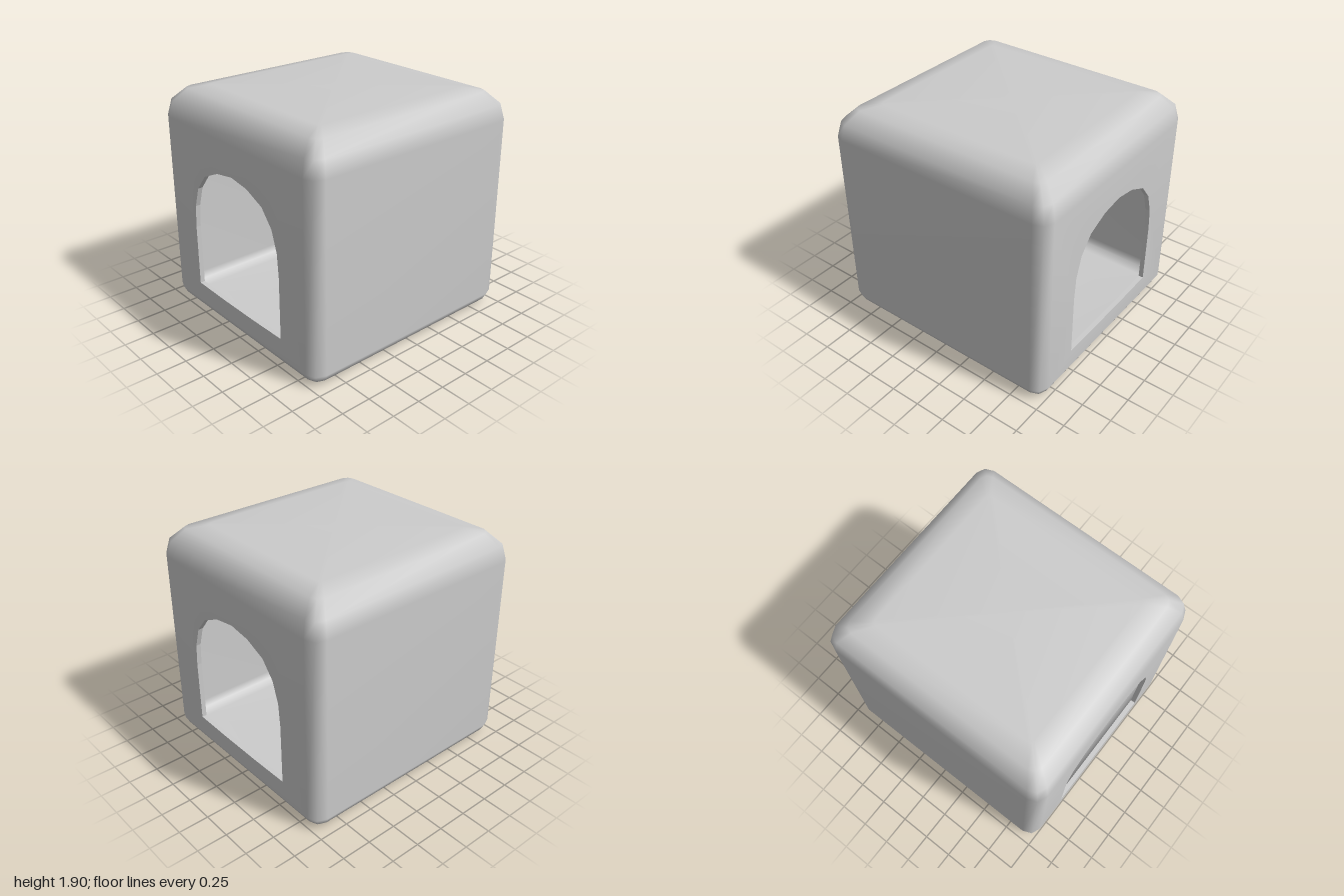
import * as THREE from 'three';
import { mergeGeometries, mergeVertices } from 'three/addons/utils/BufferGeometryUtils.js';

const HX = 1, HZ = 0.95, H = 1.9, CORNER = 0.11, WALL = 0.04;

// Side profile, floor to roof: [inset, height, plan corner radius]
const PROFILE = [
  [0.10, 0, 0.05], [0.03, 0.04, 0.09], [0, 0.1, CORNER], [0, 1.64, CORNER],
  [0.03, 1.77, 0.1], [0.13, 1.87, 0.07], [0.28, 1.9, 0.03],
];
const WALL_LAYER = 2; // profile span that is the straight wall

// Arched doorway, right half from sill to crown: [z, y]
const ARCH = [
  [0.2, 0.255], [0.55, 0.262], [0.55, 0.78], [0.535, 0.97],
  [0.48, 1.14], [0.37, 1.275], [0.19, 1.355], [0, 1.385],
];
const DOOR = [...ARCH, ...ARCH.slice(0, -1).reverse().map(([z, y]) => [-z, y])]
  .map(([z, y]) => new THREE.Vector2(z, y));

function bufferOf(positions, index) {
  const g = new THREE.BufferGeometry();
  g.setAttribute('position', new THREE.Float32BufferAttribute(positions, 3));
  g.setIndex(index);
  return g;
}

// One skin of the box: rounded rings, floor and roof caps, and two walls with doorways
function skin(scale, inward) {
  const mapY = (y) => H / 2 + (y - H / 2) * scale;
  const pos = [], index = [];
  const n = 12;
  for (const [inset, y, r] of PROFILE) {
    for (let k = 0; k < n; k++) {
      const q = Math.floor(k / 3);
      const a = (q + (k % 3) / 2) * Math.PI / 2;
      const sx = q === 0 || q === 3 ? 1 : -1, sz = q < 2 ? 1 : -1;
      pos.push(
        scale * (sx * (HX - inset - r) + r * Math.cos(a)),
        mapY(y),
        scale * (sz * (HZ - inset - r) + r * Math.sin(a)));
    }
  }
  for (let j = 0; j < PROFILE.length - 1; j++) {
    for (let k = 0; k < n; k++) {
      if (j === WALL_LAYER && (k === 5 || k === 11)) continue; // doorway walls
      const a = j * n + k, b = j * n + (k + 1) % n;
      index.push(a, a + n, b, b, a + n, b + n);
    }
  }
  // Caps
  const base = pos.length / 3, top = (PROFILE.length - 1) * n;
  pos.push(0, mapY(0), 0, 0, mapY(H), 0);
  for (let k = 0; k < n; k++) {
    const next = (k + 1) % n;
    index.push(base, k, next, base + 1, top + next, top + k);
  }
  const parts = [bufferOf(pos, index)];

  // Walls with the arched hole
  const w = (HZ - CORNER) * scale;
  const y0 = mapY(PROFILE[WALL_LAYER][1]), y1 = mapY(PROFILE[WALL_LAYER + 1][1]);
  for (const side of [1, -1]) {
    const shape = new THREE.Shape([[-w, y0], [w, y0], [w, y1], [-w, y1]]
      .map(([x, y]) => new THREE.Vector2(x, y)));
    shape.holes.push(new THREE.Path(DOOR));
    const wall = new THREE.ShapeGeometry(shape);
    wall.rotateY(side * Math.PI / 2).translate(side * HX * scale, 0, 0);
    wall.deleteAttribute('normal');
    wall.deleteAttribute('uv');
    parts.push(wall);
  }
  const g = mergeVertices(mergeGeometries(parts), 1e-3);
  if (inward) g.setIndex(Array.from(g.index.array).reverse());
  g.computeVertexNormals();
  return g;
}

// Thin edge of a doorway, joining outer and inner skins
function doorRim(side) {
  const pos = [], index = [], n = DOOR.length;
  DOOR.forEach((p, i) => {
    pos.push(side * HX, p.y, p.x, side * (HX - WALL), p.y, p.x);
    const a = 2 * i, b = 2 * ((i + 1) % n);
    index.push(a, b, a + 1, b, b + 1, a + 1);
  });
  const g = bufferOf(pos, index).toNonIndexed();
  g.computeVertexNormals();
  return g;
}

export function createModel() {
  const model = new THREE.Group();
  model.name = 'archedShelter';
  const material = new THREE.MeshStandardMaterial({ color: 0xcccccc });
  const rimMaterial = new THREE.MeshStandardMaterial({ color: 0xcccccc, side: THREE.DoubleSide });
  const add = (name, geometry, mat) => {
    const mesh = new THREE.Mesh(geometry, mat);
    mesh.name = name;
    model.add(mesh);
  };
  add('outerShell', skin(1, false), material);
  add('innerShell', skin(1 - WALL, true), material);
  add('leftDoorRim', doorRim(1), rimMaterial);
  add('rightDoorRim', doorRim(-1), rimMaterial);
  return model;
}
